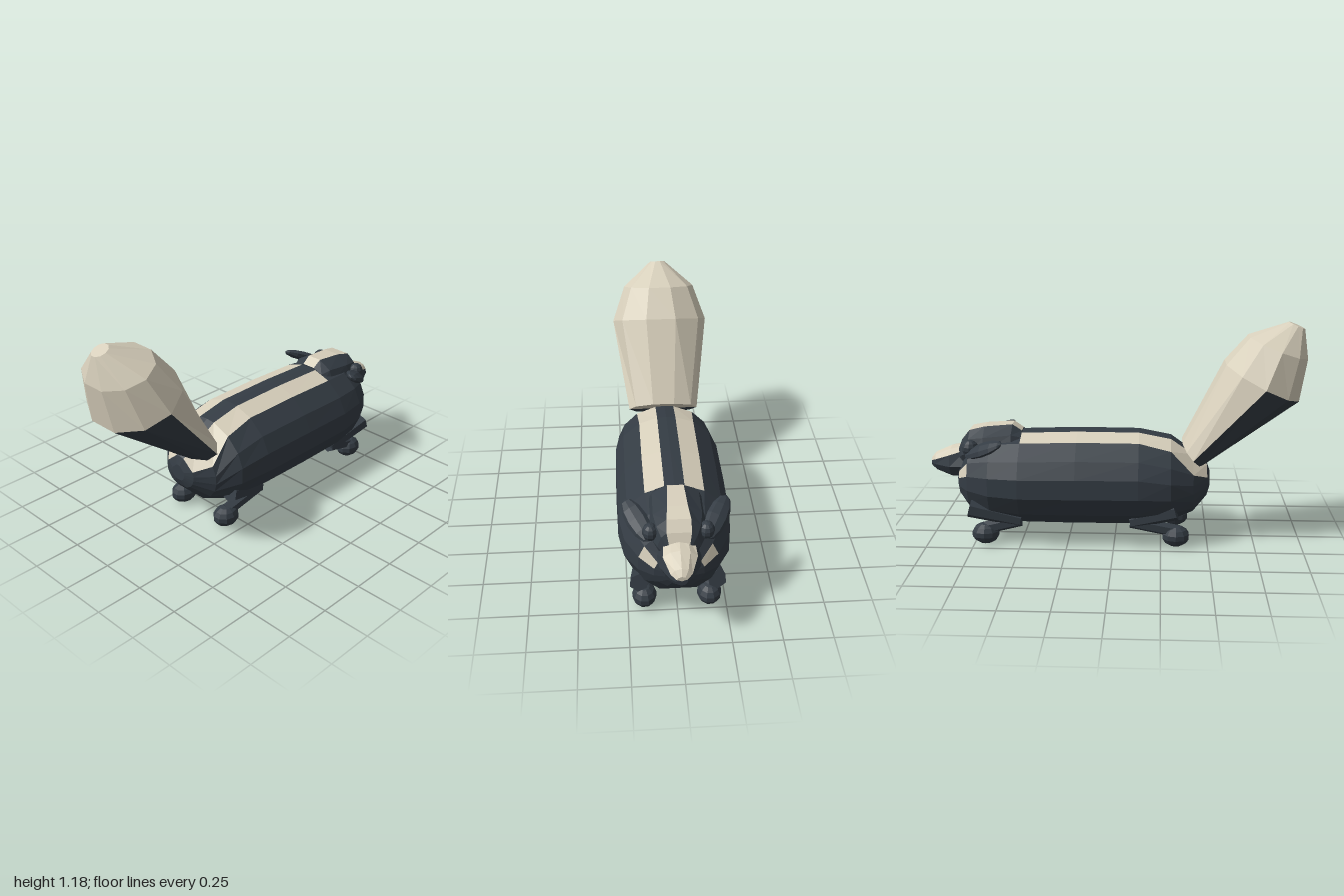
import * as THREE from 'three';

const RAD = Math.PI / 180;

export function createModel() {
  const model = new THREE.Group();
  const dark = new THREE.MeshStandardMaterial({ color: 0x343c44 });
  const cream = new THREE.MeshStandardMaterial({ color: 0xd8d0bc });
  dark.name = 'charcoal fur';
  cream.name = 'cream fur';

  function add(name, geometry, material) {
    const mesh = new THREE.Mesh(geometry, material);
    mesh.name = name;
    model.add(mesh);
    return mesh;
  }

  // Faceted geometry: unshared corners give flat normals
  function faceted(geometry) {
    const g = geometry.index ? geometry.toNonIndexed() : geometry;
    g.computeVertexNormals();
    return g;
  }

  // Mirrored loft. Ring: lo/hi = [z, y] of bottom and top, w = half width,
  // m = height fraction of the widest line, a = angles from the top in degrees.
  // isCream(ring, band) picks the colour of each quad.
  function loft(name, rings, isCream) {
    const tris = [[], []];
    const n = rings[0].a.length;
    const loops = rings.map(({ lo, hi, w, m = 0.5, a }) => {
      const cz = lo[0] + (hi[0] - lo[0]) * m, cy = lo[1] + (hi[1] - lo[1]) * m;
      const first = Math.cos(a[0] * RAD), last = -Math.cos(a[n - 1] * RAD);
      const point = (deg) => {
        const c = Math.cos(deg * RAD);
        const end = c > 0 ? hi : lo, k = c > 0 ? c / first : -c / last;
        return [w * Math.sin(deg * RAD), cy + (end[1] - cy) * k, cz + (end[0] - cz) * k];
      };
      const mirrored = a.filter((d) => d > 0).reverse().map((d) => -d);
      return [...a, ...mirrored].map(point);
    });
    const N = loops[0].length;
    const band = (j) => (j < n ? j : 2 * n - 2 - j);
    for (let i = 0; i < loops.length - 1; i++) {
      for (let j = 0; j < N; j++) {
        const k = (j + 1) % N, p = loops[i], q = loops[i + 1];
        tris[isCream(i, band(j)) ? 1 : 0].push(p[j], q[j], q[k], p[j], q[k], p[k]);
      }
    }
    // End caps
    [0, loops.length - 1].forEach((i) => {
      const loop = loops[i];
      const mid = [0, 1, 2].map((c) => loop.reduce((s, p) => s + p[c], 0) / N);
      for (let j = 0; j < N; j++) {
        const k = (j + 1) % N;
        tris[isCream(i, band(j)) ? 1 : 0].push(mid, ...(i ? [loop[k], loop[j]] : [loop[j], loop[k]]));
      }
    });
    const g = new THREE.BufferGeometry();
    g.setAttribute('position', new THREE.Float32BufferAttribute(tris.flat(2), 3));
    g.addGroup(0, tris[0].length, 0);
    g.addGroup(tris[0].length, tris[1].length, 1);
    g.computeVertexNormals();
    return add(name, g, [dark, cream]);
  }

  // Body: z, bottom, top, half width, inner and outer stripe angles
  const bodyRings = [
    [-0.85, 0.27, 0.38, 0.07, 10, 31],
    [-0.835, 0.235, 0.43, 0.125, 10, 31],
    [-0.78, 0.17, 0.53, 0.2, 10, 31],
    [-0.66, 0.13, 0.575, 0.265, 10, 31],
    [-0.5, 0.113, 0.59, 0.29, 10, 31],
    [-0.2, 0.11, 0.6, 0.293, 10, 31],
    [0.13, 0.113, 0.598, 0.29, 10, 31],
    [0.3, 0.13, 0.565, 0.265, 11, 36],
    [0.42, 0.17, 0.48, 0.19, 13, 60],
    [0.495, 0.25, 0.42, 0.1, 16, 68],
    [0.51, 0.29, 0.375, 0.045, 16, 68],
  ].map(([z, lo, hi, w, a, b]) => ({
    lo: [z, lo], hi: [z, hi], w, m: 0.45,
    a: [0, a, b, ...[0.2, 0.37, 0.56, 0.77, 1].map((t) => b + (153 - b) * t)],
  }));
  loft('body', bodyRings, (i, j) => (j === 1 && i >= 4 && i < 9) || (j === 3 && i === 1));

  // Head with a centre blaze
  const headRings = [
    [-0.845, 0.4, 0.49, 0.07, 45],
    [-0.82, 0.39, 0.55, 0.105, 35],
    [-0.78, 0.38, 0.6, 0.13, 27],
    [-0.7, 0.38, 0.618, 0.145, 20],
    [-0.55, 0.42, 0.63, 0.142, 17],
    [-0.5, 0.48, 0.595, 0.12, 19],
  ].map(([z, lo, hi, w, a]) => ({ lo: [z, lo], hi: [z, hi], w, a: [a, 55, 90, 125, 160] }));
  loft('head', headRings, (i, j) => j === -1 && i < 5);

  // Snout, cream on top
  const snoutRings = [
    [-1, 0.385, 0.435, 0.028, 70],
    [-0.975, 0.365, 0.462, 0.055, 70],
    [-0.89, 0.335, 0.5, 0.1, 56],
    [-0.8, 0.335, 0.515, 0.112, 42],
  ].map(([z, lo, hi, w, a]) => ({ lo: [z, lo], hi: [z, hi], w, a: [0, a / 2, a, 100, 135, 162] }));
  loft('snout', snoutRings, (i, j) => j < 2 && i < 3);

  // Bushy tail: dark underside on the lower length
  const tailRings = [
    { lo: [0.47, 0.42], hi: [0.36, 0.54], w: 0.195 },
    { lo: [0.96, 0.78], hi: [0.58, 0.97], w: 0.27 },
    { lo: [1.0, 1.0], hi: [0.7, 1.11], w: 0.2 },
    { lo: [0.985, 1.15], hi: [0.905, 1.185], w: 0.042 },
  ].map((r) => ({ ...r, a: [18, 54, 90, 126, 162] }));
  loft('tail', tailRings, (i, j) => i > 0 || j < 2);

  // Six-sided limb between two points
  function limb(name, from, to, r0, r1) {
    const a = new THREE.Vector3(...from), b = new THREE.Vector3(...to);
    const dir = b.clone().sub(a);
    const mesh = add(name, faceted(new THREE.CylinderGeometry(r1, r0, dir.length(), 6)), dark);
    mesh.position.copy(a).add(b).multiplyScalar(0.5);
    mesh.quaternion.setFromUnitVectors(new THREE.Vector3(0, 1, 0), dir.normalize());
  }

  function ball(name, x, y, z, sx, sy, sz) {
    const g = new THREE.SphereGeometry(1, 10, 7).scale(sx, sy, sz);
    add(name, faceted(g), dark).position.set(x, y, z);
  }

  for (const s of [1, -1]) {
    const side = s > 0 ? 'left' : 'right';

    // Crouched legs: hip, knee and paw z
    for (const [end, hip, knee, paw] of [['Hind', 0.33, 0.09, 0.33], ['Front', -0.77, -0.5, -0.69]]) {
      limb(`${side}${end}Thigh`, [s * 0.195, 0.205, hip], [s * 0.175, 0.135, knee], 0.048, 0.035);
      limb(`${side}${end}Shank`, [s * 0.17, 0.135, knee], [s * 0.165, 0.085, paw], 0.035, 0.035);
      ball(`${side}${end}Paw`, s * 0.165, 0.058, paw, 0.063, 0.058, 0.075);
    }

    ball(`${side}Eye`, s * 0.135, 0.52, -0.765, 0.04, 0.045, 0.045);

    // Leaf-shaped ear sweeping outward and back
    const ear = new THREE.SphereGeometry(1, 8, 6).scale(0.055, 0.13, 0.028);
    const mesh = add(`${side}Ear`, faceted(ear), dark);
    mesh.position.set(s * 0.195, 0.53, -0.685);
    mesh.quaternion.setFromUnitVectors(
      new THREE.Vector3(0, 1, 0), new THREE.Vector3(s * 0.1, 0.085, 0.19).normalize());
  }
  return model;
}
